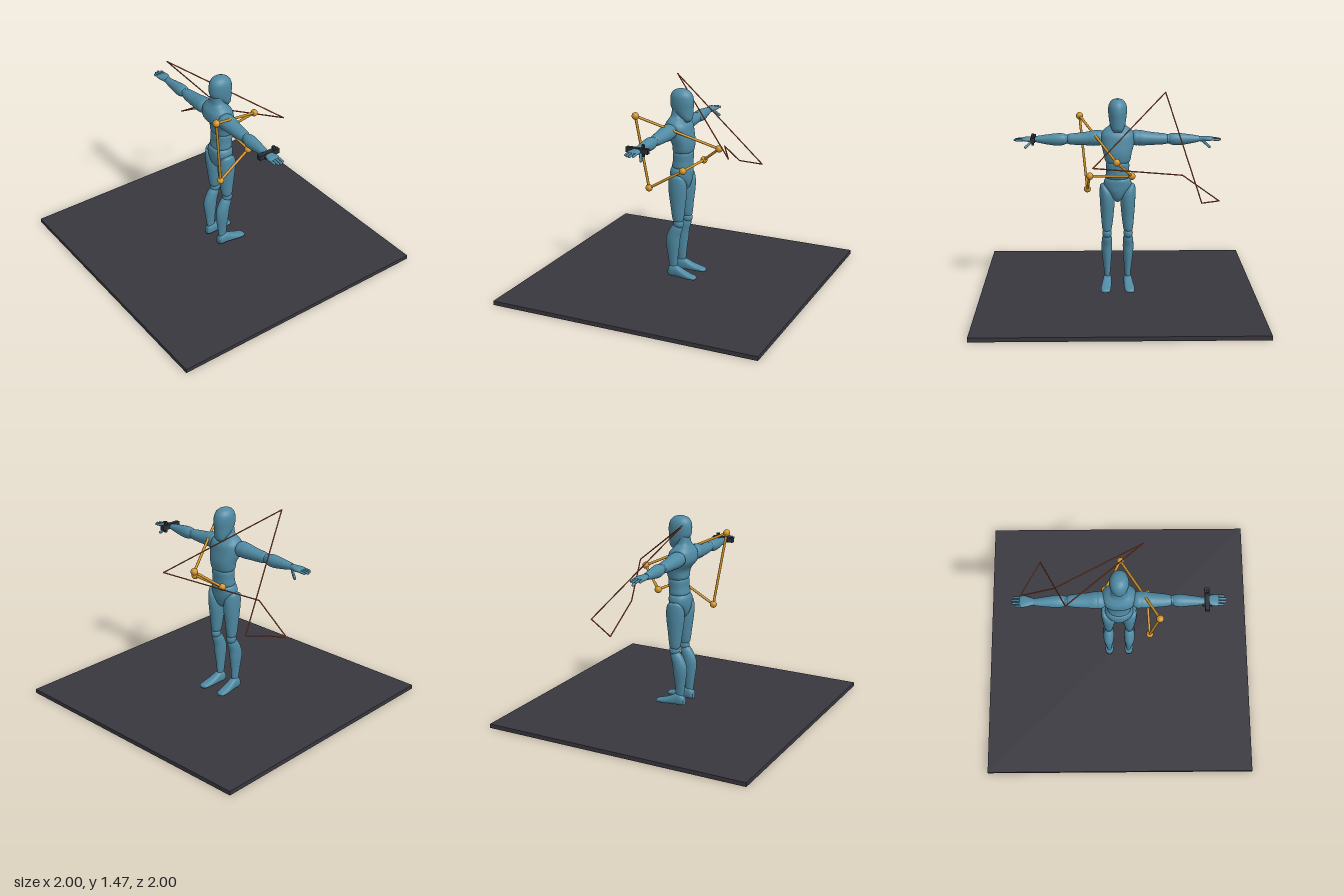
import * as THREE from 'three';

const mat = (name, color) => {
  const m = new THREE.MeshStandardMaterial({ color });
  m.name = name;
  return m;
};

// Smooth loft through elliptical sections [t, centreA, radiusA, centreB, radiusB].
// Axis y: A = x, B = z.  Axis x: A = z, B = y.  Axis z: A = y, B = x.
function loft(sections, axis = 'y', power = 1, n = 28, steps = 5) {
  const rings = [];
  const last = sections.length - 1;
  for (let i = 0; i < last; i++) {
    const p = [i - 1, i, i + 1, i + 2].map(k => sections[Math.min(last, Math.max(0, k))]);
    for (let s = 0; s < steps; s++) {
      const u = s / steps;
      rings.push(p[1].map((v, c) => v + 0.5 * u * (p[2][c] - p[0][c]
        + u * (2 * p[0][c] - 5 * v + 4 * p[2][c] - p[3][c]
        + u * (3 * (v - p[2][c]) + p[3][c] - p[0][c])))));
    }
  }
  rings.push(sections[last]);
  const pos = [], idx = [];
  const put = (a, t, b) => {
    if (axis === 'x') pos.push(t, b, a);
    else if (axis === 'z') pos.push(b, a, t);
    else pos.push(a, t, b);
  };
  const bend = v => Math.sign(v) * Math.pow(Math.abs(v), power);
  for (const [t, ca, ra, cb, rb] of rings) {
    for (let j = 0; j < n; j++) {
      const q = j / n * Math.PI * 2;
      put(ca + ra * bend(Math.cos(q)), t, cb + rb * bend(Math.sin(q)));
    }
  }
  for (let i = 0; i < rings.length - 1; i++) {
    for (let j = 0; j < n; j++) {
      const a = i * n + j, b = i * n + (j + 1) % n;
      idx.push(a, a + n, b, b, a + n, b + n);
    }
  }
  // Close both ends
  const end = (rings.length - 1) * n, c0 = rings.length * n;
  for (const r of [rings[0], rings[rings.length - 1]]) put(r[1], r[0], r[3]);
  for (let j = 0; j < n; j++) {
    const k = (j + 1) % n;
    idx.push(c0, j, k, c0 + 1, end + k, end + j);
  }
  const g = new THREE.BufferGeometry();
  g.setAttribute('position', new THREE.Float32BufferAttribute(pos, 3));
  g.setIndex(idx);
  g.computeVertexNormals();
  return g;
}

// Reflected copy across x = 0 with corner order restored
function mirrored(geo) {
  const g = geo.clone().scale(-1, 1, 1);
  const ix = g.index.array;
  for (let i = 0; i < ix.length; i += 3) [ix[i], ix[i + 1]] = [ix[i + 1], ix[i]];
  g.computeVertexNormals();
  return g;
}

// Rod or rounded finger between two points
function rod(from, to, radius, round = false) {
  const a = new THREE.Vector3(...from), b = new THREE.Vector3(...to);
  const d = b.clone().sub(a), len = d.length();
  const g = round ? new THREE.CapsuleGeometry(radius, len, 4, 10)
    : new THREE.CylinderGeometry(radius, radius, len, 10);
  g.applyQuaternion(new THREE.Quaternion().setFromUnitVectors(new THREE.Vector3(0, 1, 0), d.normalize()));
  const m = a.add(b).multiplyScalar(0.5);
  return g.translate(m.x, m.y, m.z);
}

const ball = (x, y, z, r, sx = 1, sy = 1, sz = 1) =>
  new THREE.SphereGeometry(r, 20, 14).scale(sx, sy, sz).translate(x, y, z);

export function createModel() {
  const model = new THREE.Group();
  const blue = mat('mannequinBlue', 0x4f8aa3);
  const amber = mat('amber', 0xd2942a);
  const rust = mat('rust', 0xb0522f);
  const slate = mat('floorSlate', 0x39373f);
  const dark = mat('deviceDark', 0x2d2f37);
  const add = (parent, name, geo, material) => {
    const m = new THREE.Mesh(geo, material);
    m.name = name;
    parent.add(m);
  };

  // Floor slab
  add(model, 'floor', new THREE.BoxGeometry(2, 0.03, 2).translate(0, 0.015, 0), slate);

  // Mannequin, its face towards -z
  const body = new THREE.Group();
  body.name = 'mannequin';
  model.add(body);
  add(body, 'head', loft([
    [1.215, 0, 0.03, -0.045, 0.02], [1.235, 0, 0.042, -0.045, 0.035], [1.265, 0, 0.054, -0.025, 0.06],
    [1.31, 0, 0.062, -0.005, 0.083], [1.36, 0, 0.067, -0.002, 0.088], [1.405, 0, 0.063, 0, 0.08],
    [1.435, 0, 0.044, 0.002, 0.056], [1.448, 0, 0.018, 0.003, 0.024]]), blue);
  add(body, 'chest', loft([
    [0.985, 0, 0.06, -0.014, 0.05], [1, 0, 0.088, -0.014, 0.07], [1.06, 0, 0.102, -0.014, 0.077],
    [1.13, 0, 0.12, 0.016, 0.097], [1.19, 0, 0.118, 0.022, 0.09], [1.225, 0, 0.095, 0.028, 0.064],
    [1.255, 0, 0.058, 0.03, 0.046], [1.31, 0, 0.05, 0.027, 0.04]], 'y', 0.85), blue);
  add(body, 'waist', loft([
    [0.87, 0, 0.07, -0.008, 0.06], [0.885, 0, 0.085, -0.008, 0.073], [0.93, 0, 0.083, -0.012, 0.07],
    [0.985, 0, 0.083, -0.014, 0.07], [1, 0, 0.06, -0.014, 0.05]], 'y', 0.9), blue);
  add(body, 'pelvis', loft([
    [0.7, 0, 0.014, 0, 0.03], [0.73, 0, 0.04, 0, 0.06], [0.78, 0, 0.078, 0, 0.075],
    [0.825, 0, 0.1, 0, 0.078], [0.865, 0, 0.092, -0.002, 0.076], [0.885, 0, 0.07, -0.004, 0.055]], 'y', 0.9), blue);

  // Limb pieces for the +x side
  const limbs = {
    thigh: loft([
      [0.475, 0.077, 0.026, -0.008, 0.03], [0.5, 0.077, 0.035, -0.006, 0.043], [0.6, 0.075, 0.046, -0.004, 0.056],
      [0.7, 0.075, 0.053, -0.003, 0.069], [0.77, 0.082, 0.048, -0.002, 0.068],
      [0.815, 0.1, 0.027, 0, 0.05], [0.83, 0.105, 0.012, 0, 0.025]]),
    knee: ball(0.077, 0.462, -0.01, 0.036, 0.95, 1.1, 1.1),
    calf: loft([
      [0.1, 0.075, 0.02, 0.034, 0.028], [0.14, 0.075, 0.021, 0.034, 0.034], [0.21, 0.076, 0.028, 0.036, 0.041],
      [0.3, 0.078, 0.037, 0.036, 0.053], [0.36, 0.078, 0.039, 0.03, 0.053],
      [0.42, 0.077, 0.036, 0.008, 0.047], [0.452, 0.077, 0.025, -0.002, 0.03]]),
    foot: loft([
      [-0.152, 0.056, 0.007, 0.09, 0.018], [-0.138, 0.06, 0.014, 0.089, 0.032], [-0.09, 0.066, 0.021, 0.086, 0.037],
      [-0.04, 0.076, 0.031, 0.081, 0.035], [0.01, 0.088, 0.043, 0.077, 0.032],
      [0.05, 0.087, 0.042, 0.075, 0.031], [0.072, 0.077, 0.028, 0.075, 0.02]], 'z', 0.8),
    shoulder: ball(0.135, 1.16, 0.042, 0.056, 1, 1, 1.1),
    upperArm: loft([
      [0.11, 0.042, 0.05, 1.16, 0.045], [0.16, 0.042, 0.06, 1.158, 0.056], [0.22, 0.043, 0.054, 1.154, 0.049],
      [0.29, 0.044, 0.048, 1.151, 0.043], [0.345, 0.044, 0.04, 1.15, 0.038], [0.37, 0.044, 0.026, 1.15, 0.026]], 'x'),
    elbow: ball(0.366, 1.15, 0.044, 0.034),
    forearm: loft([
      [0.36, 0.044, 0.026, 1.15, 0.026], [0.385, 0.045, 0.04, 1.149, 0.04], [0.43, 0.046, 0.044, 1.147, 0.045],
      [0.5, 0.048, 0.036, 1.147, 0.037], [0.56, 0.05, 0.029, 1.148, 0.027], [0.59, 0.05, 0.024, 1.149, 0.021]], 'x'),
    palm: loft([
      [0.575, 0.05, 0.021, 1.149, 0.017], [0.605, 0.048, 0.028, 1.149, 0.019], [0.645, 0.046, 0.041, 1.15, 0.017],
      [0.675, 0.047, 0.042, 1.15, 0.013], [0.688, 0.047, 0.034, 1.149, 0.008]], 'x', 0.85),
    thumb: rod([0.618, 1.137, 0.015], [0.66, 1.1, -0.008], 0.01, true),
  };
  // Four fingers with staggered lengths
  [0.725, 0.738, 0.733, 0.715].forEach((tip, i) => {
    const z = 0.015 + i * 0.021;
    limbs['finger' + (i + 1)] = rod([0.67, 1.15, z], [tip, 1.146, z], 0.0088, true);
  });
  for (const [name, geo] of Object.entries(limbs)) {
    add(body, name + 'Left', geo, blue);
    add(body, name + 'Right', mirrored(geo), blue);
  }

  // Wrist device: long bar, upright and short cross piece
  const device = new THREE.Group();
  device.name = 'wristDevice';
  model.add(device);
  add(device, 'deviceBar', new THREE.BoxGeometry(0.032, 0.036, 0.165).translate(0.607, 1.154, 0.043), dark);
  add(device, 'deviceUpright', new THREE.BoxGeometry(0.016, 0.085, 0.02).translate(0.607, 1.156, 0.0), dark);
  add(device, 'deviceCross', new THREE.BoxGeometry(0.066, 0.014, 0.016).translate(0.607, 1.146, 0.08), dark);

  // Closed loops of rods, with optional balls at the corners
  const loop = (name, pts, radius, material, ballRadius) => {
    const g = new THREE.Group();
    g.name = name;
    model.add(g);
    pts.forEach((p, i) => {
      add(g, name + 'Rod', rod(p, pts[(i + 1) % pts.length], radius), material);
      add(g, name + 'Joint', ball(...p, ballRadius), material);
    });
  };
  loop('amberLoop', [[0.275, 1.29, 0.23], [0.22, 0.755, 0.155], [0.2, 0.907, -0.1],
    [-0.1, 0.912, -0.13], [0.012, 1.045, -0.295]], 0.0095, amber, 0.026);
  loop('rustLoop', [[-0.355, 1.465, 0.2], [0.176, 1.035, -0.435], [-0.46, 0.92, -0.14],
    [-0.722, 0.735, -0.155], [-0.575, 0.78, -0.4]], 0.0045, rust, 0.0047);
  return model;
}
